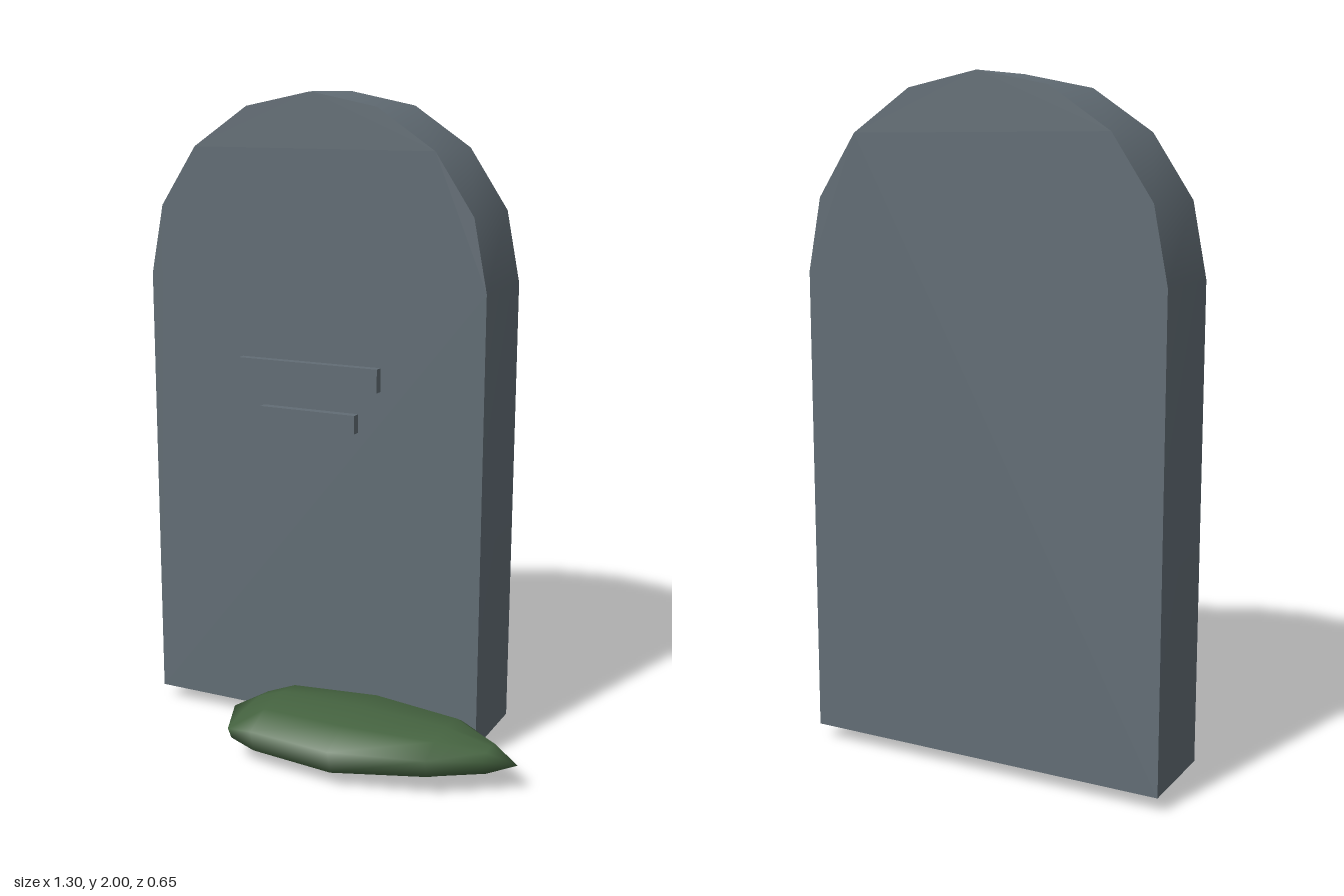
import * as THREE from 'three';
import { mergeVertices, toCreasedNormals } from 'three/addons/utils/BufferGeometryUtils.js';

const stone = new THREE.MeshStandardMaterial({ name: 'slateGrey', color: 0x626d75 });
const moss = new THREE.MeshStandardMaterial({ name: 'mossGreen', color: 0x456340 });

// Round-topped upright slab, extruded front to back
function makeSlab() {
  const cx = -0.093, r = 0.558, springY = 1.442, steps = 8;
  const shape = new THREE.Shape();
  shape.moveTo(cx - r, 0.05);
  shape.lineTo(cx + r, 0.05);
  for (let i = 0; i <= steps; i++) {
    const a = (i / steps) * Math.PI;
    shape.lineTo(cx + r * Math.cos(a), springY + r * Math.sin(a));
  }
  shape.closePath();
  const geo = new THREE.ExtrudeGeometry(shape, { depth: 0.28, bevelEnabled: false });
  geo.translate(0, 0, -0.325);
  const mesh = new THREE.Mesh(toCreasedNormals(geo, 0.6), stone);
  mesh.name = 'slab';
  return mesh;
}

// Raised inscription bar on the front face
function makeBar(name, x0, x1, y0, y1) {
  const mesh = new THREE.Mesh(new THREE.BoxGeometry(x1 - x0, y1 - y0, 0.035), stone);
  mesh.position.set((x0 + x1) / 2, (y0 + y1) / 2, -0.0355);
  mesh.name = name;
  return mesh;
}

// Flattened, faceted moss clump lofted along x
function makeMoss() {
  // x, front z, back z, top y, bottom y
  const sections = [
    [-0.3, 0.09, 0.09, 0.095, 0.095],
    [-0.21, 0.29, -0.015, 0.145, 0.055],
    [-0.13, 0.297, -0.07, 0.175, 0.012],
    [0.14, 0.323, -0.13, 0.18, 0.005],
    [0.42, 0.25, -0.075, 0.167, 0.035],
    [0.56, 0.152, 0.025, 0.135, 0.055],
    [0.645, 0.09, 0.09, 0.092, 0.092],
  ];
  // Cross-section as fractions of half depth and half height
  const ring = [[1, 0.4], [0.55, 0.85], [0, 1], [-0.55, 0.85], [-1, 0.2],
    [-0.8, -0.5], [0, -1], [0.55, -0.8], [0.9, -0.45]];
  const n = ring.length, positions = [], index = [];
  for (const [x, zf, zb, yt, yb] of sections) {
    const zc = 0.09, yc = (yt + yb) / 2, h = (yt - yb) / 2;
    for (const [u, v] of ring) {
      positions.push(x, yc + v * h, zc + u * (u > 0 ? zf - zc : zc - zb));
    }
  }
  for (let s = 0; s < sections.length - 1; s++) {
    for (let j = 0; j < n; j++) {
      const a = s * n + j, c = s * n + (j + 1) % n;
      if (s < sections.length - 2) index.push(a, a + n, c + n);
      else index.push(a, a + n, c);
      if (s > 0 && s < sections.length - 2) index.push(a, c + n, c);
    }
  }
  let geo = new THREE.BufferGeometry();
  geo.setAttribute('position', new THREE.Float32BufferAttribute(positions, 3));
  geo.setIndex(index);
  geo = mergeVertices(geo, 1e-4);
  geo.computeVertexNormals();
  const mesh = new THREE.Mesh(geo, moss);
  mesh.name = 'mossClump';
  return mesh;
}

export function createModel() {
  const group = new THREE.Group();
  group.name = 'gravestone';
  group.add(
    makeSlab(),
    makeBar('upperInscriptionBar', -0.328, 0.138, 1.13, 1.202),
    makeBar('lowerInscriptionBar', -0.255, 0.065, 0.998, 1.055),
    makeMoss(),
  );
  return group;
}
